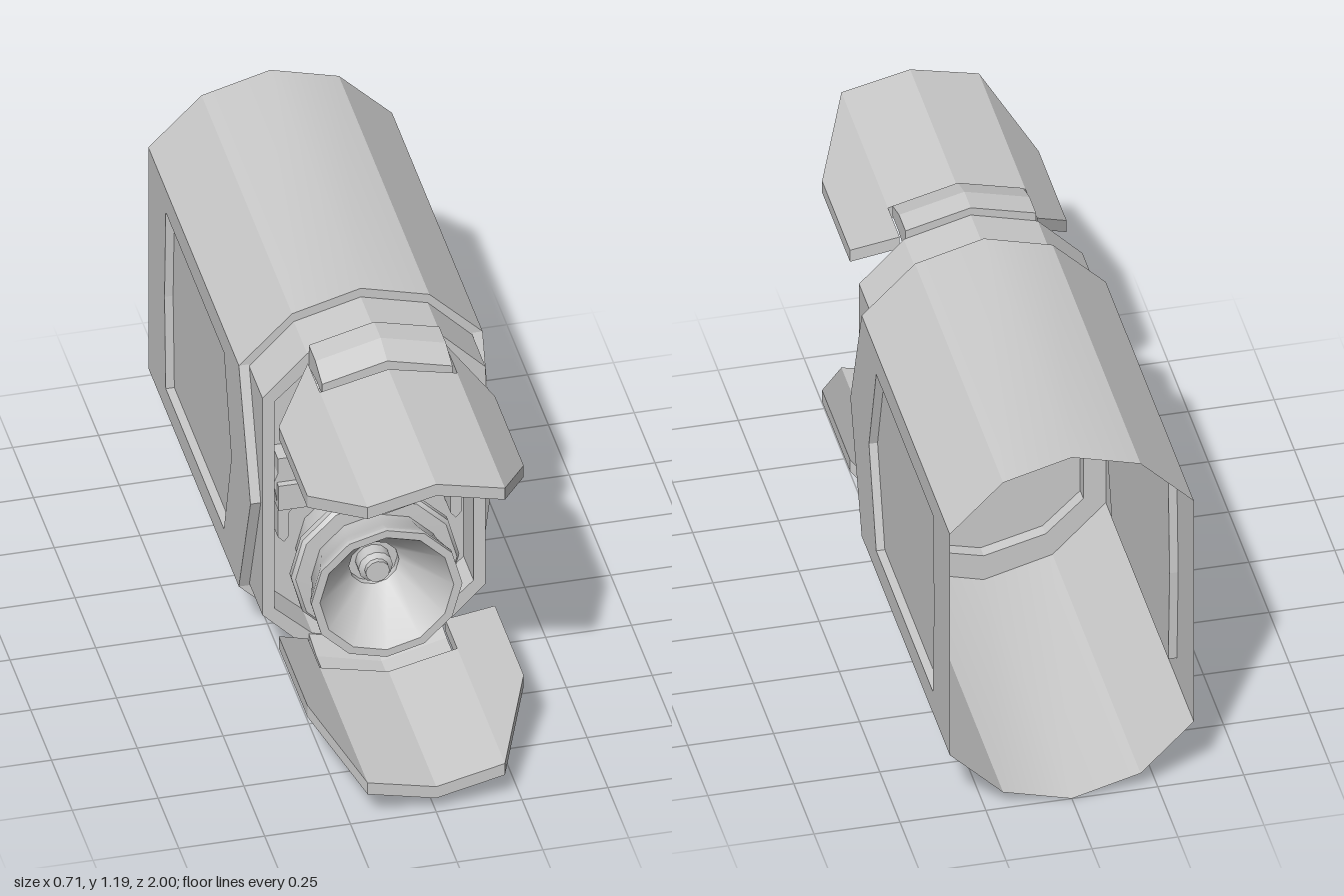
import * as THREE from 'three';
import { toCreasedNormals } from 'three/addons/utils/BufferGeometryUtils.js';

const flat = new THREE.MeshStandardMaterial({ color: 0xcccccc, flatShading: true, side: THREE.DoubleSide });
const smooth = new THREE.MeshStandardMaterial({ color: 0xcccccc, side: THREE.DoubleSide });

const MID = 0.6; // height of the horizontal mirror plane

function add(parent, name, geometry, material = flat) {
  const mesh = new THREE.Mesh(geometry, material);
  mesh.name = name;
  parent.add(mesh);
  return mesh;
}

const shapeOf = (pts) => new THREE.Shape(pts.map(([x, y]) => new THREE.Vector2(x, y)));

function withHole(outer, inner) {
  const shape = shapeOf(outer);
  shape.holes.push(shapeOf(inner));
  return shape;
}

const extrude = (shape, depth) => new THREE.ExtrudeGeometry(shape, { depth, bevelEnabled: false });

// Band of quads between two rows of 3D points
function strip(a, b) {
  const index = [];
  for (let i = 0; i < a.length - 1; i++) {
    const n = a.length + i;
    index.push(i, i + 1, n, i + 1, n + 1, n);
  }
  const geo = new THREE.BufferGeometry();
  geo.setAttribute('position', new THREE.Float32BufferAttribute([...a, ...b].flat(), 3));
  geo.setIndex(index);
  geo.computeVertexNormals();
  return geo;
}

// Full ten-sided outline from a quarter: peak, shoulder and side corner
function outline(peak, [sx, sy], [cx, cy]) {
  const low = (y) => 2 * MID - y;
  return [[0, peak], [sx, sy], [cx, cy], [cx, low(cy)], [sx, low(sy)], [0, low(peak)],
    [-sx, low(sy)], [-cx, low(cy)], [-cx, cy], [-sx, sy]];
}

// Changes y by a rule that depends on x
function bend(geo, rule) {
  const p = geo.attributes.position;
  for (let i = 0; i < p.count; i++) p.setY(i, p.getY(i) + rule(p.getX(i)));
  geo.computeVertexNormals();
  return geo;
}

const W = 0.355, BACK = -1, LIP = 0.09, RIM = 0.25, FLOOR = 0.13;
const bodyLine = outline(1.195, [0.2, 1.14], [W, 0.985]);
const neckLine = outline(1.165, [0.195, 1.112], [0.325, 0.978]);
const wellLine = outline(1.112, [0.18, 1.065], [0.29, 0.96]);

// Side wall with arrow-shaped front and recessed panel (model's left)
function sideWall() {
  const g = new THREE.Group();
  g.name = 'sideWall';
  const wall = [[BACK, 0.215], [LIP, 0.215], [0.23, MID], [LIP, 0.985], [BACK, 0.985]];
  const panel = [[0, MID], [-0.09, 0.905], [-0.79, 0.905], [-0.805, MID], [-0.79, 0.29], [-0.09, 0.29]];
  const place = (geo, x) => geo.rotateY(-Math.PI / 2).translate(x, 0, 0);
  const at = (pts, x) => pts.map(([z, y]) => [x, y, z]);
  const loop = [...panel, panel[0]];
  add(g, 'wallPlate', place(new THREE.ShapeGeometry(withHole(wall, panel)), W));
  add(g, 'panel', place(new THREE.ShapeGeometry(shapeOf(panel)), W - 0.025));
  add(g, 'panelEdge', strip(at(loop, W), at(loop, W - 0.025)));
  const arrow = wall.slice(1, 4);
  add(g, 'arrowEdge', strip(at(arrow, W), at(arrow, 0.325)));
  return g;
}

// Raised bracket on the floor of the front well
function bracket() {
  const pts = [[0.18, 0.555], [0.215, 0.555], [0.235, 0.53], [0.235, 0.45], [0.25, 0.43], [0.268, 0.45],
    [0.268, 0.555], [0.28, 0.64], [0.268, 0.67], [0.268, 0.722], [0.22, 0.722], [0.22, 0.665], [0.18, 0.64]];
  const g = new THREE.Group();
  g.name = 'bracket';
  add(g, 'bracketPlate', extrude(shapeOf(pts), 0.07).translate(0, 0, FLOOR));
  add(g, 'bracketBlock', new THREE.BoxGeometry(0.09, 0.085, 0.09).translate(0.226, 0.598, FLOOR + 0.045));
  return g;
}

// Left half of a flap with its wing, and of the hood at its root
function flapHalf() {
  const g = new THREE.Group();
  g.name = 'flapHalf';
  const top = (x) => (x <= 0.2 ? 1.147 - 0.235 * x : 1.1 - (x - 0.2));
  const slab = (pts) => bend(extrude(shapeOf(pts), 0.04).rotateX(Math.PI / 2), top);
  add(g, 'flapPlate', slab([[0, 0.425], [0.2, 0.425], [0.2, 1], [0, 1]]));
  add(g, 'flapWing', slab([[0.2, 0.28], [0.315, 0.405], [0.315, 0.75], [0.2, 1]]));
  const hood = [[-0.25, 1.19], [-0.33, 1.19], [-0.41, 1.165], [-0.41, 1.13], [-0.34, 1.13], [-0.25, 1.115]];
  add(g, 'hood', bend(extrude(shapeOf(hood), 0.19).rotateY(Math.PI / 2), (x) => -0.26 * x));
  return g;
}

// Engine bell with collar, hollow cone and central plug
function nozzle() {
  const profile = [[0.2, FLOOR], [0.2, 0.24], [0.245, 0.245], [0.245, 0.265], [0.235, 0.277], [0.19, 0.279],
    [0.195, 0.31], [0.208, 0.355], [0.22, 0.39], [0.22, 0.405], [0.195, 0.405], [0.073, 0.25], [0.073, 0.23],
    [0.05, 0.23], [0.05, 0.27], [0.035, 0.28], [0.035, 0.295], [0, 0.295]];
  const geo = new THREE.LatheGeometry(profile.map(([r, z]) => new THREE.Vector2(r, z)), 12);
  return toCreasedNormals(geo.rotateX(Math.PI / 2), 0.6);
}

// Upper half: roof, bevels, flap, hood and nozzle
function upperHalf() {
  const g = new THREE.Group();
  g.name = 'upperHalf';
  const at = (pts, z) => pts.map(([x, y]) => [x, y, z]);
  const roof = [bodyLine[9], bodyLine[0], bodyLine[1]];
  add(g, 'roof', strip(at(roof, BACK), at(roof, LIP)), smooth);
  for (const edge of [[bodyLine[1], bodyLine[2]], [bodyLine[8], bodyLine[9]]]) {
    add(g, 'bevel', strip(at(edge, BACK), at(edge, LIP)));
  }
  for (const side of [1, -1]) {
    const half = flapHalf();
    half.scale.x = side;
    g.add(half);
  }
  add(g, 'nozzle', nozzle(), smooth).position.y = 0.85;
  return g;
}

export function createModel() {
  const model = new THREE.Group();
  model.name = 'enginePod';

  // Upper half and its mirror image below
  const lower = upperHalf();
  lower.name = 'lowerHalf';
  lower.scale.y = -1;
  lower.position.y = 2 * MID;
  model.add(upperHalf(), lower);

  // Walls and brackets on both sides
  for (const side of [1, -1]) {
    for (const part of [sideWall(), bracket()]) {
      part.scale.x = side;
      model.add(part);
    }
  }

  // Front lip, neck ring and well floor
  add(model, 'frontLip', new THREE.ShapeGeometry(withHole(bodyLine, neckLine)).translate(0, 0, LIP));
  add(model, 'neck', extrude(withHole(neckLine, wellLine), RIM - LIP).translate(0, 0, LIP));
  add(model, 'wellFloor', new THREE.ShapeGeometry(shapeOf(wellLine)).translate(0, 0, FLOOR));
  return model;
}
